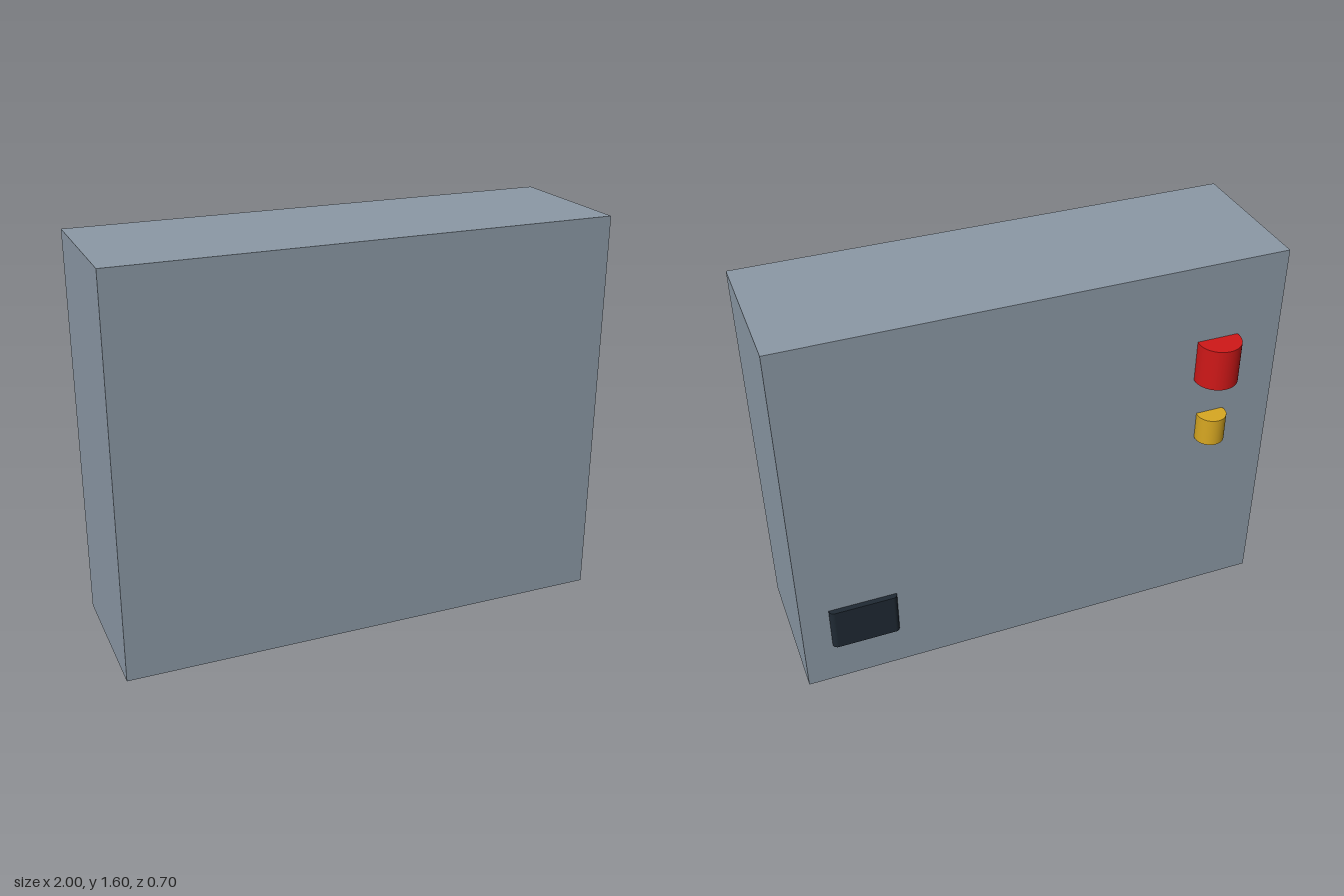
import * as THREE from 'three';

const BACK = -0.248; // z of the cabinet's rear wall
const FRONT = 0.352;

function addPart(group, name, geometry, color, x, y, z) {
  const mesh = new THREE.Mesh(geometry, new THREE.MeshStandardMaterial({ color }));
  mesh.name = name;
  mesh.position.set(x, y, z);
  group.add(mesh);
  return mesh;
}

// Upright plate on the rear wall, its two vertical outer edges rounded
function plateGeometry(width, height, depth, r) {
  const w = width / 2;
  const s = new THREE.Shape();
  s.moveTo(-w, 0);
  s.lineTo(w, 0);
  s.lineTo(w, depth - r);
  s.absarc(w - r, depth - r, r, 0, Math.PI / 2, false);
  s.lineTo(-w + r, depth);
  s.absarc(-w + r, depth - r, r, Math.PI / 2, Math.PI, false);
  s.closePath();
  const geo = new THREE.ExtrudeGeometry(s, { depth: height, bevelEnabled: false, curveSegments: 8 });
  geo.rotateX(-Math.PI / 2); // profile depth now points to -z, extrusion up
  return geo;
}

export function createModel() {
  const group = new THREE.Group();
  group.name = 'cabinet';

  // Main box
  addPart(group, 'cabinetBody', new THREE.BoxGeometry(2, 1.6, FRONT - BACK), 0x8c99a6,
    0, 0.8, (FRONT + BACK) / 2);

  // Upright round knobs, partly sunk into the rear wall
  const knobs = [
    ['redKnob', 0.087, 1.097, 1.272, 0xd01818],
    ['yellowKnob', 0.06, 0.81, 0.928, 0xd8a822],
  ];
  for (const [name, r, y0, y1, color] of knobs) {
    addPart(group, name, new THREE.CylinderGeometry(r, r, y1 - y0, 48), color,
      -0.731, (y0 + y1) / 2, BACK - 0.0165);
  }

  // Dark plate low on the rear wall
  addPart(group, 'darkPlate', plateGeometry(0.277, 0.187, 0.023, 0.02), 0x1f2933,
    0.746, 0.192, BACK);

  return group;
}
